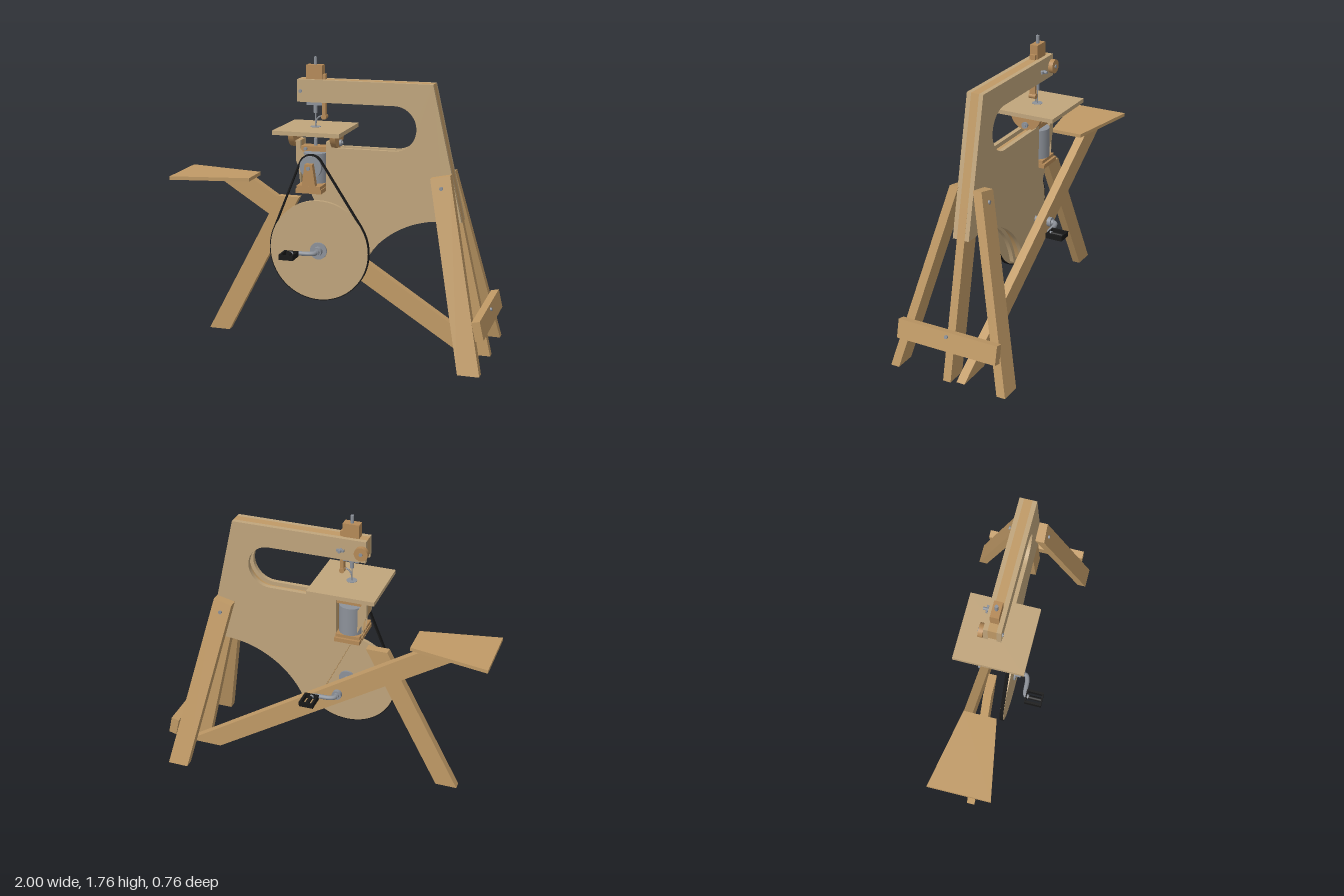
import * as THREE from 'three';

const mat = (color) => new THREE.MeshStandardMaterial({ color });
const panelWood = mat(0xc0a57c), wood = mat(0xc09a66), headWood = mat(0xb58a58);
const metal = mat(0x8d929a), black = mat(0x181818);

export function createModel() {
  const root = new THREE.Group();

  function add(name, geo, m, x = 0, y = 0, z = 0, parent = root) {
    const mesh = new THREE.Mesh(geo, m);
    mesh.name = name;
    mesh.position.set(x, y, z);
    parent.add(mesh);
    return mesh;
  }
  const poly = (pts) => new THREE.Shape(pts.map((p) => new THREE.Vector2(p[0], p[1])));
  // Extrude an xy shape between two z values
  function slab(name, shape, z0, z1, m) {
    const geo = new THREE.ExtrudeGeometry(shape, { depth: z1 - z0, bevelEnabled: false, curveSegments: 32 });
    return add(name, geo, m, 0, 0, z0);
  }
  // Box given by its limits
  function box(name, x0, x1, y0, y1, z0, z1, m, parent = root) {
    return add(name, new THREE.BoxGeometry(x1 - x0, y1 - y0, z1 - z0), m,
      (x0 + x1) / 2, (y0 + y1) / 2, (z0 + z1) / 2, parent);
  }
  // Cylinder along an axis, centred on a point
  function rod(name, axis, r, len, x, y, z, m, parent = root, sides = 32) {
    const geo = new THREE.CylinderGeometry(r, r, len, sides);
    if (axis === 'x') geo.rotateZ(Math.PI / 2);
    if (axis === 'z') geo.rotateX(Math.PI / 2);
    return add(name, geo, m, x, y, z, parent);
  }

  // Frame: two cheeks around a core whose lower and slot edges are set back
  function frameShape(i) {
    const s = new THREE.Shape();
    const r = 0.57 + i;
    s.moveTo(-0.63 + 0.533 * i, 0.375 + i);
    s.absarc(0.7, 0.25, r, Math.PI - Math.asin((0.125 + i) / r), Math.PI / 2, true);
    s.lineTo(0.801 - 0.23 * i, 0.82 + i);
    s.lineTo(0.615, 1.63);
    s.lineTo(-0.215, 1.63);
    s.lineTo(-0.215, 1.495 + i);
    s.absarc(0.385, 1.36, 0.135 + i, Math.PI / 2, -Math.PI / 2, true);
    [[0, 1.225 - i], [0, 1.26], [-0.035, 1.26], [-0.035, 0.96], [-0.195, 0.96],
      [-0.195, 1.26], [-0.225, 1.26], [-0.225, 1.135]].forEach((p) => s.lineTo(p[0], p[1]));
    s.closePath();
    return s;
  }
  slab('frontCheek', frameShape(0), 0.025, 0.052, panelWood);
  slab('backCheek', frameShape(0), -0.052, -0.025, panelWood);
  slab('frameCore', frameShape(0.025), -0.025, 0.025, wood);

  // Legs in the plane of the frame
  slab('frontLeg', poly([[-0.825, 0], [-0.69, 0], [-0.216, 0.9], [-0.351, 0.9]]), -0.025, 0.025, wood);
  slab('centreLeg', poly([[0.86, 0], [0.99, 0], [0.76, 1], [0.63, 1]]), -0.025, 0.025, wood);

  // Splayed side legs: sheared outward towards the floor
  for (const side of [1, -1]) {
    const geo = new THREE.ExtrudeGeometry(
      poly([[0.86, 0], [0.99, 0], [0.737, 1.11], [0.62, 1.085]]), { depth: 0.055, bevelEnabled: false });
    geo.applyMatrix4(new THREE.Matrix4().set(
      1, 0, 0, 0, 0, 1, 0, 0, 0, -0.252, 1, 0.327, 0, 0, 0, 1));
    if (side < 0) geo.rotateY(Math.PI).scale(-1, 1, 1);
    if (side < 0) {
      // Mirrored: restore face winding
      const p = geo.attributes.position;
      for (let i = 0; i < p.count; i += 3) {
        const a = [p.getX(i), p.getY(i), p.getZ(i)];
        p.setXYZ(i, p.getX(i + 1), p.getY(i + 1), p.getZ(i + 1));
        p.setXYZ(i + 1, ...a);
      }
    }
    geo.computeVertexNormals();
    add('sideLeg', geo, wood);
    rod('legBolt', 'z', 0.011, 0.03, 0.69, 1.035, side * 0.115, metal);
  }

  // Brace across the side legs
  const brace = add('crossBrace', new THREE.BoxGeometry(0.05, 0.115, 0.65), wood, 0.962, 0.255, 0);
  brace.rotation.z = 0.226;
  const braceBolt = rod('braceBolt', 'x', 0.011, 0.02, 0.025, 0.03, 0, metal, brace);
  braceBolt.name = 'braceBolt';

  // Seat and its diagonal beam
  slab('seatBeam', poly([[-0.805, 0.995], [-0.57, 0.995], [0.97, 0], [0.75, 0]]), -0.106, -0.052, wood);
  const seatGeo = new THREE.ExtrudeGeometry(
    poly([[-1, -0.19], [-0.512, -0.1], [-0.512, 0.1], [-1, 0.19]]), { depth: 0.022, bevelEnabled: false });
  seatGeo.rotateX(-Math.PI / 2);
  add('seat', seatGeo, wood, 0, 0.994, 0);

  // Flywheel, belt and pulley
  const W = { x: -0.065, y: 0.595, r: 0.31 }, P = { x: -0.115, y: 1.11, r: 0.072 };
  rod('flywheel', 'z', W.r, 0.024, W.x, W.y, 0.093, panelWood, root, 64);
  rod('flywheelHub', 'z', 0.053, 0.046, W.x, W.y, 0.093, metal);
  rod('pulley', 'z', P.r - 0.004, 0.03, P.x, P.y, 0.093, metal);
  rod('pulleyShaft', 'z', 0.012, 0.11, P.x, P.y, 0.1, metal);
  const dir = Math.atan2(P.y - W.y, P.x - W.x);
  const spread = Math.acos((W.r - P.r) / Math.hypot(P.x - W.x, P.y - W.y));
  function beltLoop(target, t) {
    target.absarc(W.x, W.y, W.r + t, dir + spread, dir - spread + 2 * Math.PI, false);
    target.absarc(P.x, P.y, P.r + t, dir - spread, dir + spread, false);
    target.closePath();
    return target;
  }
  const beltShape = beltLoop(new THREE.Shape(), 0.006);
  beltShape.holes.push(beltLoop(new THREE.Path(), -0.003));
  slab('belt', beltShape, 0.082, 0.104, black);

  // Pedals: axle with a bent crank at each end
  rod('axle', 'z', 0.018, 0.31, W.x, W.y, 0.01, metal);
  rod('axleCollar', 'z', 0.03, 0.025, W.x, W.y, -0.118, metal);
  rod('axleCollar', 'z', 0.028, 0.03, W.x, W.y, 0.13, metal);
  for (const turn of [0, Math.PI]) {
    const crank = new THREE.Group();
    crank.name = 'crank';
    crank.position.set(W.x, W.y, 0.012);
    crank.rotation.y = turn;
    root.add(crank);
    const path = new THREE.CatmullRomCurve3([[0, 0.14], [-0.005, 0.165], [-0.03, 0.178], [-0.11, 0.185], [-0.135, 0.193], [-0.14, 0.215]]
      .map((p) => new THREE.Vector3(p[0], 0, p[1])));
    add('crankArm', new THREE.TubeGeometry(path, 30, 0.014, 12), metal, 0, 0, 0, crank);
    rod('pedalSpindle', 'z', 0.013, 0.1, -0.14, 0, 0.248, black, crank, 16);
    for (const s of [-1, 1]) {
      box('pedalTread', -0.147 + s * 0.038, -0.133 + s * 0.038, -0.016, 0.016, 0.198, 0.298, black, crank);
      box('pedalPlate', -0.185, -0.095, -0.016, 0.016, 0.244 + s * 0.05, 0.252 + s * 0.05, black, crank);
    }
  }

  // Motor on its shelf, with the pulley bearing
  box('motorShelf', -0.195, -0.035, 0.957, 0.983, -0.09, 0.148, headWood);
  box('motorPad', -0.19, -0.04, 0.983, 1.003, -0.075, 0.148, headWood);
  rod('motor', 'y', 0.075, 0.185, -0.115, 1.093, 0, metal);
  slab('pulleyBearing', poly([[-0.158, 1], [-0.072, 1], [-0.092, 1.135], [-0.138, 1.135]]), 0.109, 0.147, headWood);
  box('lowerGuide', -0.195, -0.035, 1.195, 1.225, -0.04, 0.04, headWood);
  rod('guideBolt', 'z', 0.01, 0.02, -0.165, 1.21, 0.045, metal);

  // Table with half-round tilt brackets and clamping knobs
  box('table', -0.32, 0.095, 1.315, 1.34, -0.21, 0.21, panelWood);
  rod('tableInsert', 'y', 0.032, 0.004, -0.115, 1.34, 0, metal);
  for (const [x, out] of [[-0.243, -1], [0.018, 1]]) {
    const half = new THREE.Shape();
    half.absarc(0, 0, 0.1, Math.PI, 2 * Math.PI, false);
    half.closePath();
    const geo = new THREE.ExtrudeGeometry(half, { depth: 0.034, bevelEnabled: false, curveSegments: 24 });
    geo.translate(0, 0, -0.017).rotateY(Math.PI / 2);
    add('tiltBracket', geo, headWood, x, 1.316, 0);
    rod('tiltBolt', 'x', 0.009, 0.08, x, 1.25, 0, metal);
    rod('tiltKnob', 'x', 0.02, 0.014, x + out * 0.026, 1.25, 0, metal, root, 12);
  }

  // Saw head: sliding block, blade rod and presser foot
  box('headBlock', -0.165, -0.065, 1.495, 1.715, -0.0255, 0.0255, headWood);
  rod('topRod', 'y', 0.01, 0.05, -0.115, 1.738, 0, metal, root, 16);
  box('bladeHolder', -0.163, -0.068, 1.474, 1.496, -0.025, 0.025, metal);
  rod('upperChuck', 'y', 0.012, 0.05, -0.115, 1.45, 0, metal, root, 16);
  rod('blade', 'y', 0.004, 0.25, -0.115, 1.34, 0, metal, root, 8);
  rod('lowerChuck', 'y', 0.012, 0.05, -0.115, 1.245, 0, metal, root, 16);
  box('footBar', -0.068, -0.048, 1.39, 1.66, -0.018, 0.018, headWood);
  rod('footBolt', 'z', 0.016, 0.045, -0.058, 1.404, 0, headWood, root, 16);
  const footPath = new THREE.CatmullRomCurve3([[-0.06, 1.41], [-0.085, 1.405], [-0.105, 1.385], [-0.112, 1.35]]
    .map((p) => new THREE.Vector3(p[0], p[1], 0.01)));
  add('presserFoot', new THREE.TubeGeometry(footPath, 16, 0.005, 8), metal);

  // Fastenings on the arm
  rod('tensionKnob', 'z', 0.042, 0.028, -0.193, 1.56, -0.066, headWood);
  rod('tensionBolt', 'z', 0.011, 0.145, -0.193, 1.56, -0.013, metal, root, 16);
  rod('wingBolt', 'z', 0.009, 0.04, -0.065, 1.56, -0.07, metal, root, 12);
  box('wingNut', -0.088, -0.042, 1.553, 1.567, -0.072, -0.06, metal);

  return root;
}
